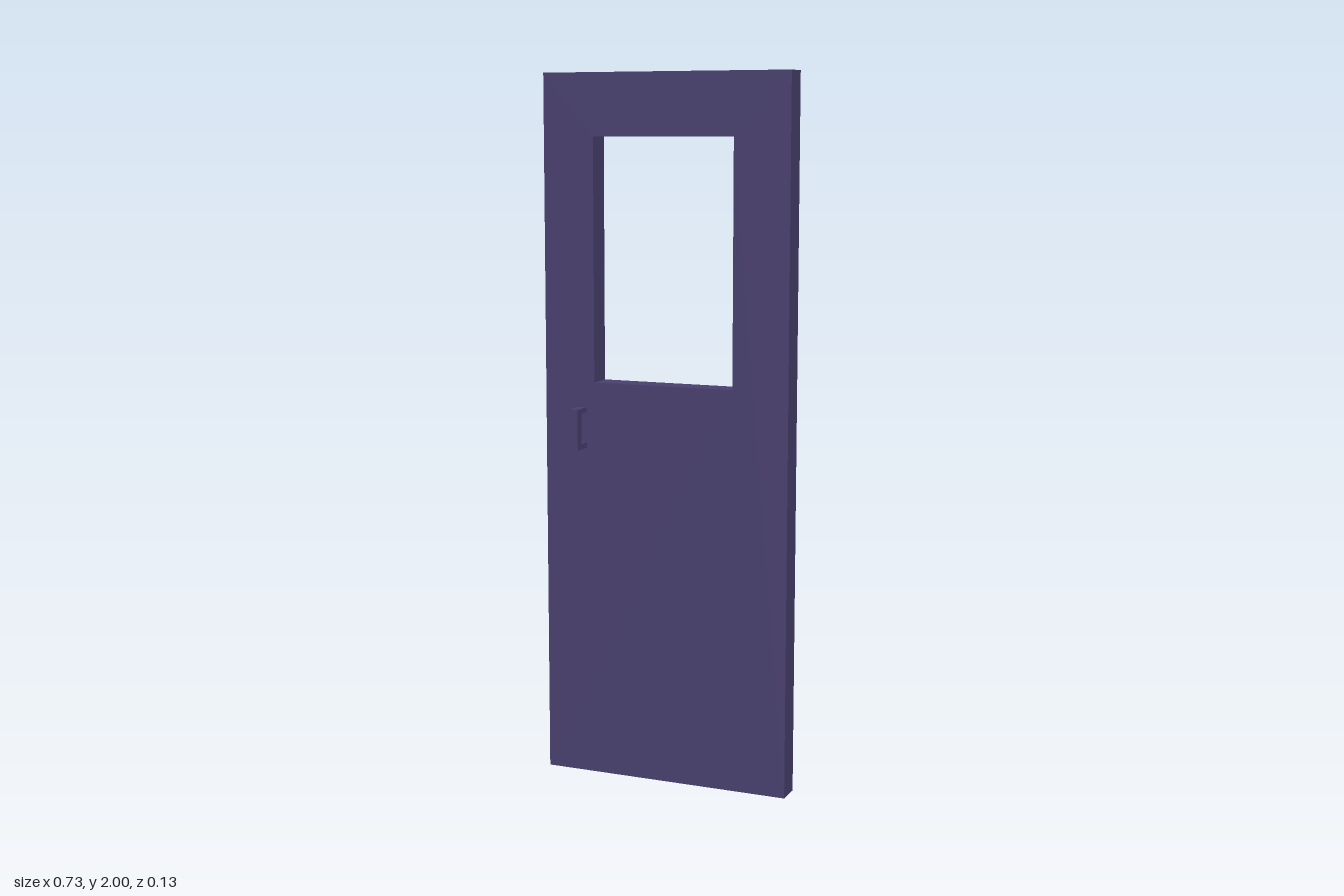
import * as THREE from 'three';

const rectangle = (Type, x0, y0, x1, y1) => {
  const path = new Type();
  path.moveTo(x0, y0);
  path.lineTo(x1, y0);
  path.lineTo(x1, y1);
  path.lineTo(x0, y1);
  path.closePath();
  return path;
};

export function createModel() {
  const group = new THREE.Group();
  group.name = 'door';
  const purple = new THREE.MeshStandardMaterial({ color: 0x483f6e });
  purple.name = 'dusky purple';

  // Door slab with an open window
  const outline = rectangle(THREE.Shape, -0.365, 0, 0.364, 2);
  outline.holes.push(rectangle(THREE.Path, -0.214, 1.142, 0.202, 1.826));
  const panelGeometry = new THREE.ExtrudeGeometry(outline, { depth: 0.071, bevelEnabled: false });
  panelGeometry.translate(0, 0, -0.066);
  const panel = new THREE.Mesh(panelGeometry, purple);
  panel.name = 'doorPanel';
  group.add(panel);

  // C-shaped pull handle: side profile (z, y) extruded across x
  const profile = new THREE.Shape([
    [0.005, 0.954], [0.064, 0.954], [0.064, 1.07], [0.005, 1.07],
    [0.005, 1.056], [0.039, 1.056], [0.039, 0.97], [0.005, 0.97],
  ].map(([z, y]) => new THREE.Vector2(-z, y)));
  const handleGeometry = new THREE.ExtrudeGeometry(profile, { depth: 0.027, bevelEnabled: false });
  handleGeometry.rotateY(Math.PI / 2);
  handleGeometry.translate(-0.266, 0, 0);
  const handle = new THREE.Mesh(handleGeometry, purple);
  handle.name = 'pullHandle';
  group.add(handle);

  return group;
}
